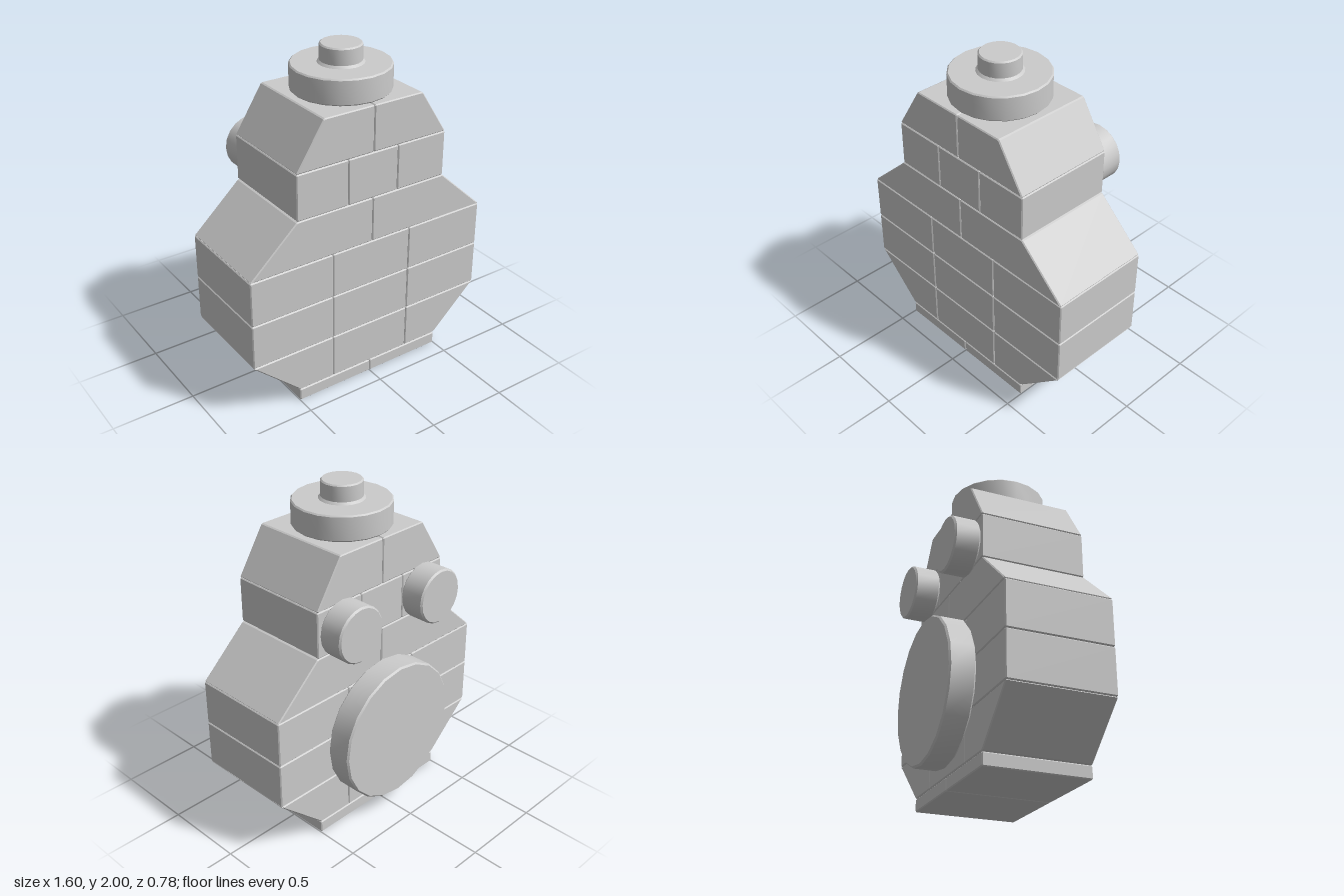
import * as THREE from 'three';
import { toCreasedNormals } from 'three/addons/utils/BufferGeometryUtils.js';

const material = new THREE.MeshStandardMaterial({ color: 0xcccccc });
const BACK = -0.238, FRONT = 0.392; // depth of the brick wall
const BEVEL = 0.006;

// Brick: four corners (counter-clockwise) with chamfered edges, extruded along z
function brick(name, corners) {
  const pts = corners.map(([x, y]) => new THREE.Vector2(x, y));
  const outline = [];
  pts.forEach((p, i) => {
    for (const q of [pts[(i + 3) % 4], pts[(i + 1) % 4]]) {
      outline.push(p.clone().add(q.clone().sub(p).setLength(BEVEL)));
    }
  });
  const geometry = new THREE.ExtrudeGeometry(new THREE.Shape(outline), {
    depth: FRONT - BACK - 2 * BEVEL,
    bevelSize: BEVEL, bevelThickness: BEVEL, bevelOffset: -BEVEL, bevelSegments: 1,
  });
  geometry.translate(0, 0, BACK + BEVEL);
  const mesh = new THREE.Mesh(geometry, material);
  mesh.name = name;
  return mesh;
}

// Row of bricks; the outer ends slope when bottom and top half-widths differ
function brickRow(name, y0, y1, bottom, top, splits) {
  const row = new THREE.Group();
  row.name = name;
  const low = [-bottom, ...splits, bottom], high = [-top, ...splits, top];
  const gap = 0.001;
  for (let i = 0; i < low.length - 1; i++) {
    row.add(brick('brick', [
      [low[i] + gap, y0 + gap], [low[i + 1] - gap, y0 + gap],
      [high[i + 1] - gap, y1 - gap], [high[i] + gap, y1 - gap],
    ]));
  }
  return row;
}

// Turned part from a profile of [radius, height] points
function turned(name, profile) {
  const points = profile.map(([r, y]) => new THREE.Vector2(r, y));
  const mesh = new THREE.Mesh(toCreasedNormals(new THREE.LatheGeometry(points, 20), 0.6), material);
  mesh.name = name;
  return mesh;
}

// Round tile standing on the back wall
function backDisc(name, radius, x, y) {
  const h = 0.154, b = 0.01;
  const disc = turned(name, [[0, 0], [radius - b, 0], [radius, b], [radius, h - b], [radius - b, h], [0, h]]);
  disc.rotation.x = -Math.PI / 2;
  disc.position.set(x, y, BACK);
  return disc;
}

export function createModel() {
  const model = new THREE.Group();
  model.name = 'brickFigure';

  // Wall of bricks, bottom to top
  model.add(
    brickRow('basePlates', 0, 0.079, 0.5, 0.5, [0]),
    brickRow('lowerSlopes', 0.079, 0.356, 0.5, 0.8, [-0.267, 0.267]),
    brickRow('bellyLower', 0.356, 0.634, 0.8, 0.8, [-0.267, 0.267]),
    brickRow('bellyUpper', 0.634, 0.912, 0.8, 0.8, [-0.267, 0.267]),
    brickRow('shoulderSlopes', 0.912, 1.189, 0.8, 0.5, [0]),
    brickRow('headBricks', 1.189, 1.466, 0.5, 0.5, [-0.167, 0.167]),
    brickRow('headSlopes', 1.466, 1.741, 0.5, 0.325, [0]),
  );

  // Round cap with a knob on top
  const cap = turned('cap', [
    [0, 0], [0.28, 0], [0.288, 0.008], [0.288, 0.142], [0.28, 0.15], [0.134, 0.15],
    [0.121, 0.163], [0.121, 0.251], [0.113, 0.259], [0, 0.259],
  ]);
  cap.position.set(0, 1.741, 0.077);
  model.add(cap);

  // Round tiles on the back
  model.add(backDisc('bellyDisc', 0.432, 0, 0.557));
  for (const side of [-1, 1]) model.add(backDisc('eyeDisc', 0.166, side * 0.322, 1.325));

  return model;
}
